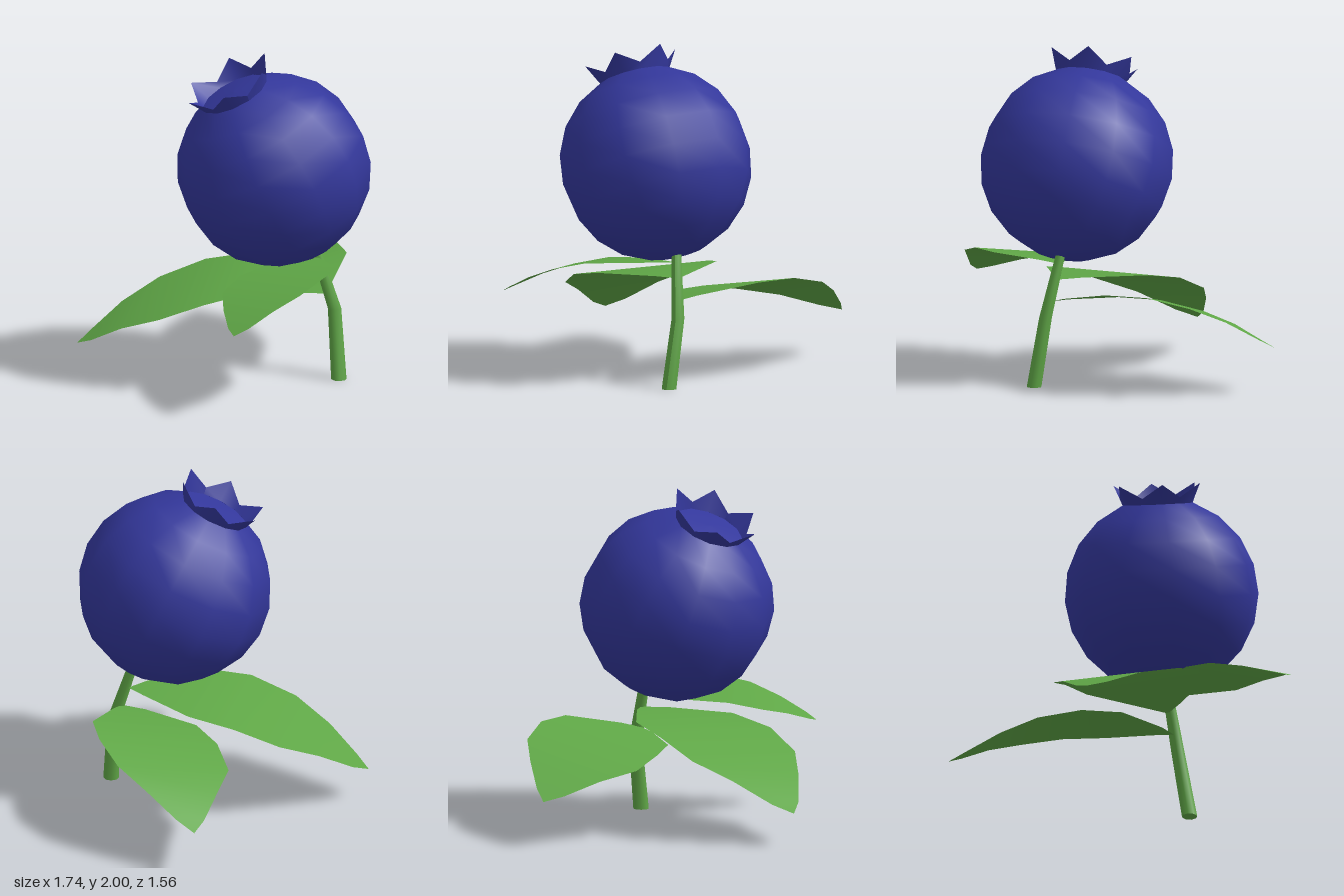
import * as THREE from 'three';

const V = (a) => new THREE.Vector3(...a);
const blue = new THREE.MeshStandardMaterial({ color: 0x33379b, side: THREE.DoubleSide });
const green = new THREE.MeshStandardMaterial({ color: 0x5fa646, side: THREE.DoubleSide });

function addMesh(parent, name, geometry, material) {
  const mesh = new THREE.Mesh(geometry, material);
  mesh.name = name;
  parent.add(mesh);
  return mesh;
}

// Round fruit with a six-pointed crown, built upright and then tilted
function createBerry() {
  const berry = new THREE.Group();
  berry.name = 'berry';
  const R = 0.58, sides = 12, rimAngle = 0.37, rings = 9;

  const profile = [];
  for (let i = 0; i <= rings; i++) {
    const t = Math.PI + (rimAngle - Math.PI) * (i / rings);
    profile.push(new THREE.Vector2(Math.max(0, R * Math.sin(t)), R * Math.cos(t)));
  }
  addMesh(berry, 'berryBody', new THREE.LatheGeometry(profile, sides), blue);

  // Shallow floor inside the crown
  const floor = [[0.21, 0.54], [0.12, 0.55], [0, 0.555]].map((p) => new THREE.Vector2(...p));
  addMesh(berry, 'crownFloor', new THREE.LatheGeometry(floor, sides), blue);

  // Crown: open band whose upper rim alternates between tips and notches
  const crown = new THREE.CylinderGeometry(1, 1, 1, sides, 1, true);
  const pos = crown.attributes.position;
  for (let i = 0; i < pos.count; i++) {
    const top = i <= sides;
    const tip = i % 2 === 1;
    const [r, h] = !top ? [0.208, 0.535] : tip ? [0.28, 0.657] : [0.225, 0.578];
    pos.setXYZ(i, pos.getX(i) * r, h, pos.getZ(i) * r);
  }
  crown.computeVertexNormals();
  addMesh(berry, 'crown', crown, blue);

  // Tilt so the crown leans back and to the right
  const axis = V([-0.345, 0.898, -0.274]).normalize();
  const side = V([0.227, 0.12, 0.108]);
  side.addScaledVector(axis, -side.dot(axis)).normalize();
  const third = new THREE.Vector3().crossVectors(side, axis);
  berry.quaternion.setFromRotationMatrix(new THREE.Matrix4().makeBasis(side, axis, third));
  berry.position.set(-0.03, 1.29, 0.2);
  return berry;
}

// Bent, tapering stem
function createStem() {
  const rows = [[0.16, 0.79, 0.36, 0.03], [0.21, 0.42, 0.47, 0.04], [0.175, 0, 0.53, 0.046]];
  const geo = new THREE.CylinderGeometry(1, 1, 2, 8, 2);
  const pos = geo.attributes.position;
  for (let i = 0; i < pos.count; i++) {
    const [x, y, z, r] = rows[1 - Math.round(pos.getY(i))];
    pos.setXYZ(i, x + pos.getX(i) * r, y, z + pos.getZ(i) * r);
  }
  geo.computeVertexNormals();
  return geo;
}

// Leaf blade: a midrib of points widened along one side direction
const leafWidths = [0, 0.11, 0.37, 0.42, 0.395, 0.25, 0.1, 0];
function createLeaf({ midrib, side, width }) {
  const across = V(side).normalize();
  const points = [], index = [];
  midrib.forEach((p, i) => {
    const w = leafWidths[i] * width;
    points.push(V(p).addScaledVector(across, -w), V(p).addScaledVector(across, w));
    if (i > 0) {
      const a = 2 * i - 2;
      if (i > 1) index.push(a, a + 1, a + 2);
      if (i < midrib.length - 1) index.push(a + 1, a + 3, a + 2);
    }
  });
  const geo = new THREE.BufferGeometry().setFromPoints(points);
  geo.setIndex(index);
  geo.computeVertexNormals();
  return geo;
}

const leaves = {
  backRightLeaf: {
    side: [0.79, 0.035, -0.61], width: 1,
    midrib: [[0.18, 0.64, 0.38], [0.12, 0.645, 0.3], [-0.07, 0.63, 0.06], [-0.25, 0.575, -0.15],
      [-0.41, 0.47, -0.37], [-0.54, 0.365, -0.55], [-0.65, 0.24, -0.695], [-0.7, 0.19, -0.76]],
  },
  backLeftLeaf: {
    side: [0.89, 0.2, 0.4], width: 0.91,
    midrib: [[0.18, 0.51, 0.43], [0.21, 0.525, 0.34], [0.33, 0.55, 0.095], [0.44, 0.54, -0.13],
      [0.55, 0.48, -0.365], [0.655, 0.41, -0.54], [0.745, 0.315, -0.7], [0.79, 0.27, -0.78]],
  },
  frontRightLeaf: {
    side: [-0.1, -0.13, -0.97], width: 0.7,
    midrib: [[0.17, 0.73, 0.36], [0.09, 0.738, 0.39], [-0.09, 0.745, 0.45], [-0.3, 0.735, 0.47],
      [-0.51, 0.685, 0.485], [-0.675, 0.625, 0.515], [-0.815, 0.555, 0.55], [-0.87, 0.525, 0.56]],
  },
};

export function createModel() {
  const model = new THREE.Group();
  model.name = 'berryPlant';
  model.add(createBerry());
  addMesh(model, 'stem', createStem(), green);
  for (const [name, leaf] of Object.entries(leaves)) addMesh(model, name, createLeaf(leaf), green);
  return model;
}
